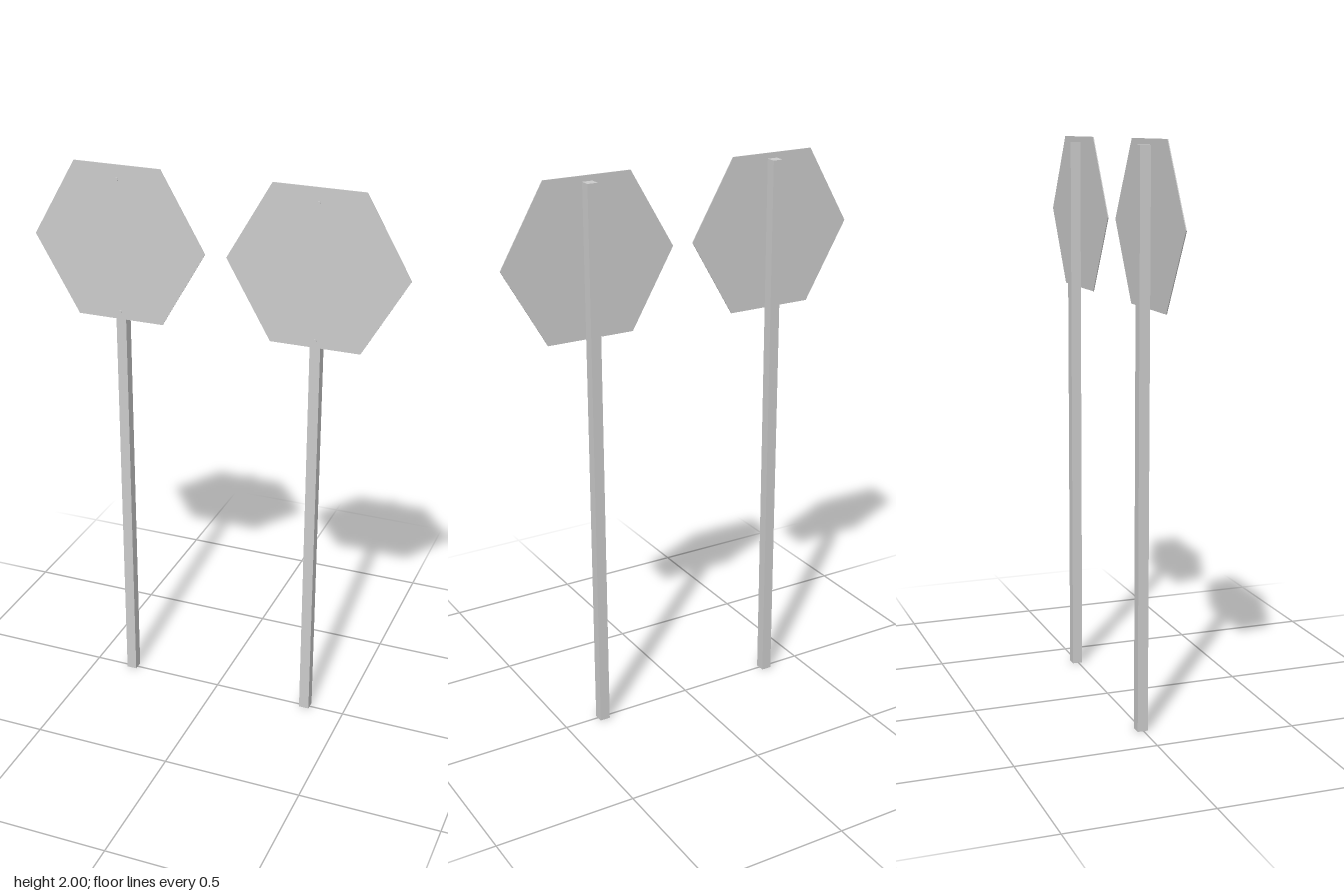
import * as THREE from 'three';

const material = new THREE.MeshStandardMaterial({ color: 0xcccccc, flatShading: true });

function addPart(parent, name, geometry, x, y, z) {
  const mesh = new THREE.Mesh(geometry, material);
  mesh.name = name;
  mesh.position.set(x, y, z);
  parent.add(mesh);
}

// Six-sided prism lying flat against the xy plane, corners pointing left and right
function hexPrism(radius, depth) {
  return new THREE.CylinderGeometry(radius, radius, depth, 6)
    .rotateY(Math.PI / 2)
    .rotateX(Math.PI / 2);
}

function createSign(name, x) {
  const sign = new THREE.Group();
  sign.name = name;
  sign.position.x = x;

  // Square post behind a thin plate
  addPart(sign, 'post', new THREE.BoxGeometry(0.037, 1.98, 0.037), 0, 0.99, -0.0035);
  addPart(sign, 'signPlate', hexPrism(0.315, 0.003), 0, 1.727, 0.0165);

  // Bolts fixing the plate to the post
  addPart(sign, 'upperBolt', hexPrism(0.006, 0.006), 0, 1.95, 0.019);
  addPart(sign, 'lowerBolt', hexPrism(0.006, 0.006), 0, 1.48, 0.019);
  return sign;
}

export function createModel() {
  const model = new THREE.Group();
  model.name = 'signPair';
  model.add(createSign('leftSign', 0.353), createSign('rightSign', -0.353));
  return model;
}
